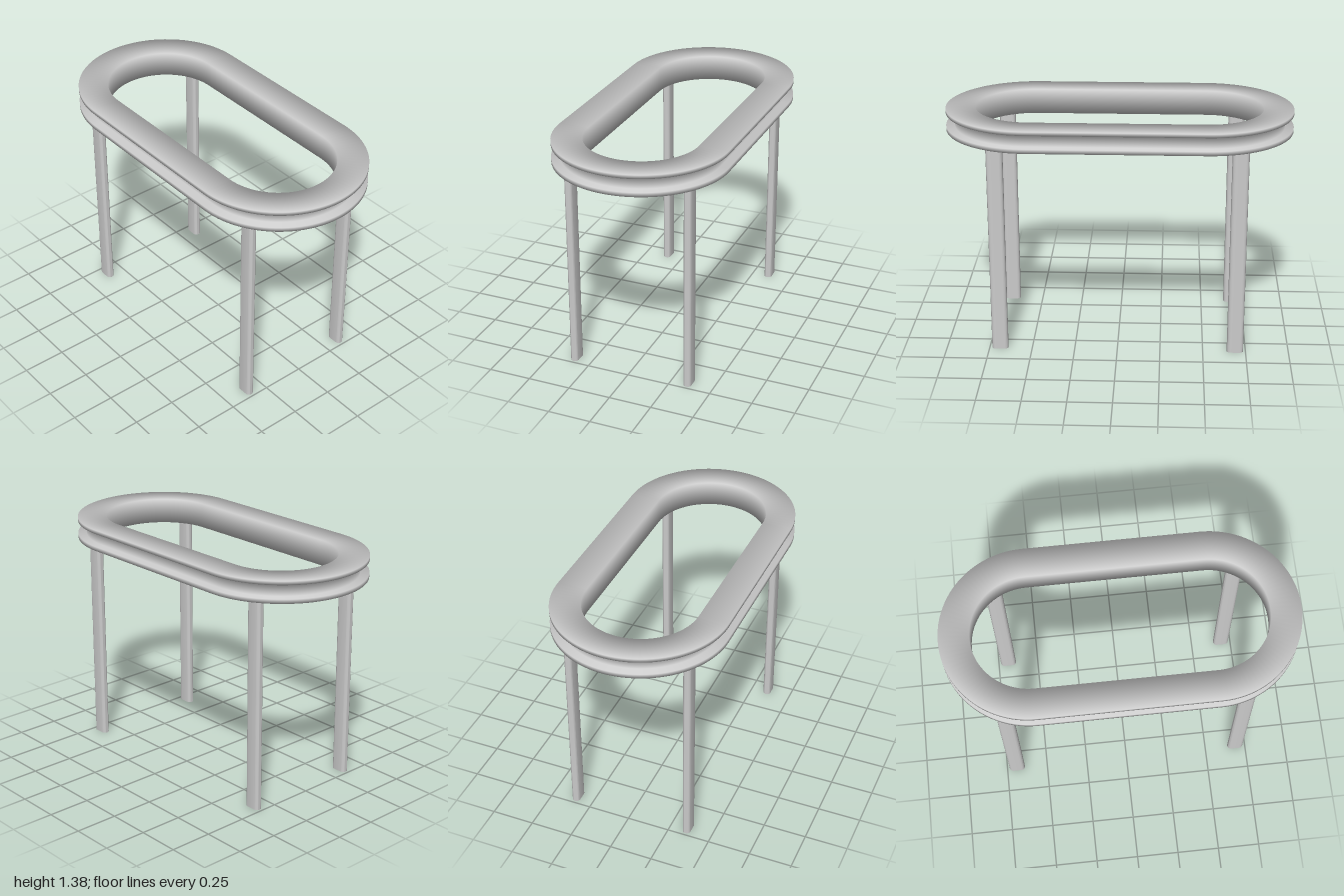
import * as THREE from 'three';
import { toCreasedNormals } from 'three/addons/utils/BufferGeometryUtils.js';

const HALF_STRAIGHT = 0.5; // centres of the two round ends

// Sweeps a closed counterclockwise profile [radius, height] round a stadium path.
// Normals are shared at the profile corners for soft shading.
function stadiumRing(profile, arcSteps) {
  const n = profile.length;
  const normals = profile.map((p, j) => {
    const prev = profile[(j + n - 1) % n], next = profile[(j + 1) % n];
    const e1 = new THREE.Vector2(p[1] - prev[1], prev[0] - p[0]).normalize();
    const e2 = new THREE.Vector2(next[1] - p[1], p[0] - next[0]).normalize();
    return e1.add(e2).normalize();
  });
  const pos = [], nor = [], idx = [];
  const rows = 2 * (arcSteps + 1);
  for (let i = 0; i < rows; i++) {
    const half = i > arcSteps ? 1 : 0;
    const a = -Math.PI / 2 + ((i - half) / arcSteps) * Math.PI;
    const cx = half ? -HALF_STRAIGHT : HALF_STRAIGHT;
    const c = Math.cos(a), s = Math.sin(a);
    profile.forEach(([r, y], j) => {
      pos.push(cx + r * c, y, r * s);
      nor.push(normals[j].x * c, normals[j].y, normals[j].x * s);
      const j2 = (j + 1) % n, i2 = (i + 1) % rows;
      const p = i * n + j, q = i * n + j2, u = i2 * n + j, v = i2 * n + j2;
      idx.push(p, q, u, q, v, u);
    });
  }
  const g = new THREE.BufferGeometry();
  g.setAttribute('position', new THREE.Float32BufferAttribute(pos, 3));
  g.setAttribute('normal', new THREE.Float32BufferAttribute(nor, 3));
  g.setIndex(idx);
  return g;
}

// Upright leg with a flat section and half-round narrow sides
function legGeometry(width, depth, height) {
  const r = depth / 2, f = width / 2 - r;
  const shape = new THREE.Shape();
  shape.absarc(f, 0, r, -Math.PI / 2, Math.PI / 2, false);
  shape.absarc(-f, 0, r, Math.PI / 2, Math.PI * 1.5, false);
  const g = new THREE.ExtrudeGeometry(shape, { depth: height, bevelEnabled: false, curveSegments: 16 });
  g.rotateX(-Math.PI / 2);
  return toCreasedNormals(g, 0.7);
}

export function createModel() {
  const model = new THREE.Group();
  model.name = 'ringTable';
  const material = new THREE.MeshStandardMaterial({ color: 0xcccccc });

  // Ring top: two flanges, a recessed band between them and a lip under the opening
  const profile = [
    [0.328, 1.23], [0.35, 1.23], [0.35, 1.253],
    [0.5, 1.253], [0.5, 1.278], [0.45, 1.278],
    [0.45, 1.356], [0.5, 1.356], [0.5, 1.378], [0.328, 1.378],
  ];
  const top = new THREE.Mesh(stadiumRing(profile, 48), material);
  top.name = 'ringTop';
  model.add(top);

  // Four legs
  const leg = legGeometry(0.096, 0.046, 1.255);
  for (const [sx, side] of [[1, 'Left'], [-1, 'Right']]) {
    for (const [sz, end] of [[1, 'front'], [-1, 'back']]) {
      const mesh = new THREE.Mesh(leg, material);
      mesh.name = `${end}${side}Leg`;
      mesh.position.set(sx * 0.688, 0, sz * 0.352);
      model.add(mesh);
    }
  }
  return model;
}
